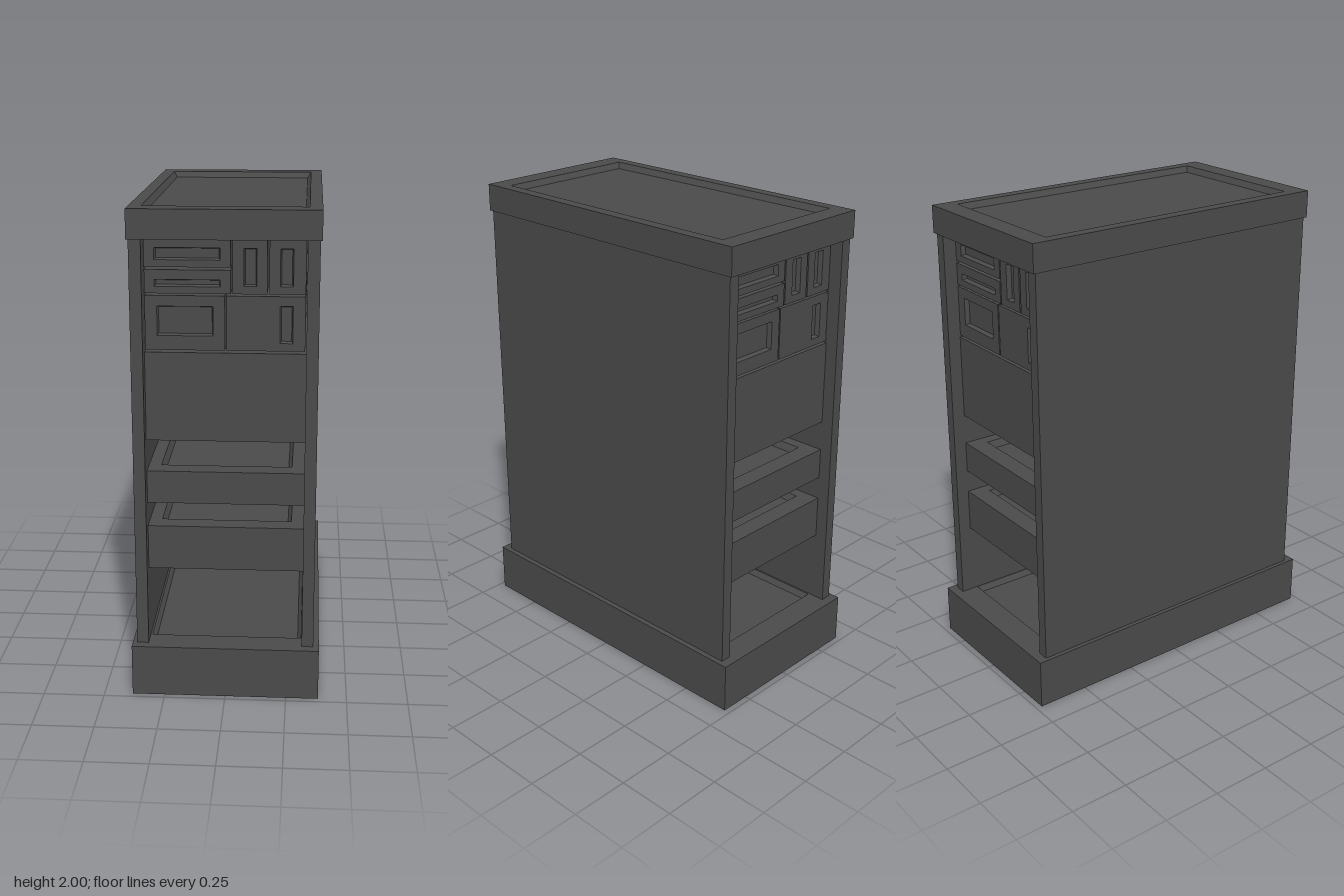
import * as THREE from 'three';

const material = new THREE.MeshStandardMaterial({ color: 0x4a4a4a });

// Block running along +z whose end face has a bevelled rectangular recess.
// outer and hole are [x0, x1, y0, y1].
function recessedBlock(name, outer, z0, z1, hole, bevel, depth) {
  const [a, b, c, d] = hole;
  const floor = [a + bevel, b - bevel, c + bevel, d - bevel];
  const ring = ([x0, x1, y0, y1], z) => [[x0, y0, z], [x1, y0, z], [x1, y1, z], [x0, y1, z]];
  const rings = [ring(outer, z0), ring(outer, z1), ring(hole, z1), ring(floor, z1 - depth)];
  const pos = [];
  const quad = (p, q, r, s) => pos.push(...p, ...q, ...r, ...p, ...r, ...s);
  for (let k = 0; k < rings.length - 1; k++) {
    for (let i = 0; i < 4; i++) {
      const j = (i + 1) % 4;
      quad(rings[k][i], rings[k][j], rings[k + 1][j], rings[k + 1][i]);
    }
  }
  quad(...rings[3]);
  quad(...[...rings[0]].reverse());
  const geometry = new THREE.BufferGeometry();
  geometry.setAttribute('position', new THREE.Float32BufferAttribute(pos, 3));
  geometry.computeVertexNormals();
  const mesh = new THREE.Mesh(geometry, material);
  mesh.name = name;
  return mesh;
}

// Horizontal slab with a recess in its top face
function slab(name, halfX, halfZ, y0, y1, holeX, holeZ, depth = 0.025) {
  const mesh = recessedBlock(name, [-halfX, halfX, -halfZ, halfZ], y0, y1,
    [-holeX, holeX, -holeZ, holeZ], 0.015, depth);
  mesh.rotation.x = -Math.PI / 2;
  return mesh;
}

// Equipment bank: each module is its outline and the recess in its face
function moduleBank(name) {
  const bank = new THREE.Group();
  bank.name = name;
  const modules = [
    ['upperDrive', [-0.311, 0.022, 1.77, 1.879], [-0.272, -0.018, 1.798, 1.845]],
    ['lowerDrive', [-0.311, 0.022, 1.668, 1.76], [-0.272, -0.018, 1.695, 1.722]],
    ['innerCardSlot', [0.029, 0.162, 1.668, 1.879], [0.072, 0.122, 1.698, 1.844]],
    ['outerCardSlot', [0.17, 0.31, 1.668, 1.879], [0.212, 0.262, 1.698, 1.844]],
    ['displayUnit', [-0.311, -0.001, 1.445, 1.66], [-0.264, -0.046, 1.502, 1.618]],
    ['controlUnit', [0.005, 0.31, 1.445, 1.66], [0.212, 0.262, 1.476, 1.622]],
  ];
  for (const [part, outer, hole] of modules) {
    bank.add(recessedBlock(part, outer, 0.005, 0.63, hole, 0.005, 0.02));
  }
  return bank;
}

export function createModel() {
  const group = new THREE.Group();
  group.name = 'equipmentRack';

  // Plinth and top cover
  group.add(slab('base', 0.383, 0.725, 0, 0.215, 0.31, 0.61));
  const rack = new THREE.Group();
  rack.name = 'rackBody';
  rack.position.x = -0.0025;
  group.add(rack);
  rack.add(slab('topCover', 0.3695, 0.697, 1.885, 2, 0.32, 0.607));

  // Side walls
  for (const side of [-1, 1]) {
    const wall = new THREE.Mesh(new THREE.BoxGeometry(0.0475, 1.67, 1.37), material);
    wall.name = side > 0 ? 'leftWall' : 'rightWall';
    wall.position.set(side * 0.33875, 1.05, 0);
    rack.add(wall);
  }

  // Shelf units, open at the front and back between them
  const shelves = [['lowerTray', 0.525, 0.71], ['upperTray', 0.81, 0.945], ['mainUnit', 1.075, 1.435]];
  for (const [name, y0, y1] of shelves) {
    rack.add(slab(name, 0.315, 0.63, y0, y1, 0.265, 0.55, 0.03));
  }

  // Identical module banks facing front and back
  const back = moduleBank('backModules');
  back.rotation.y = Math.PI;
  rack.add(moduleBank('frontModules'), back);

  return group;
}
